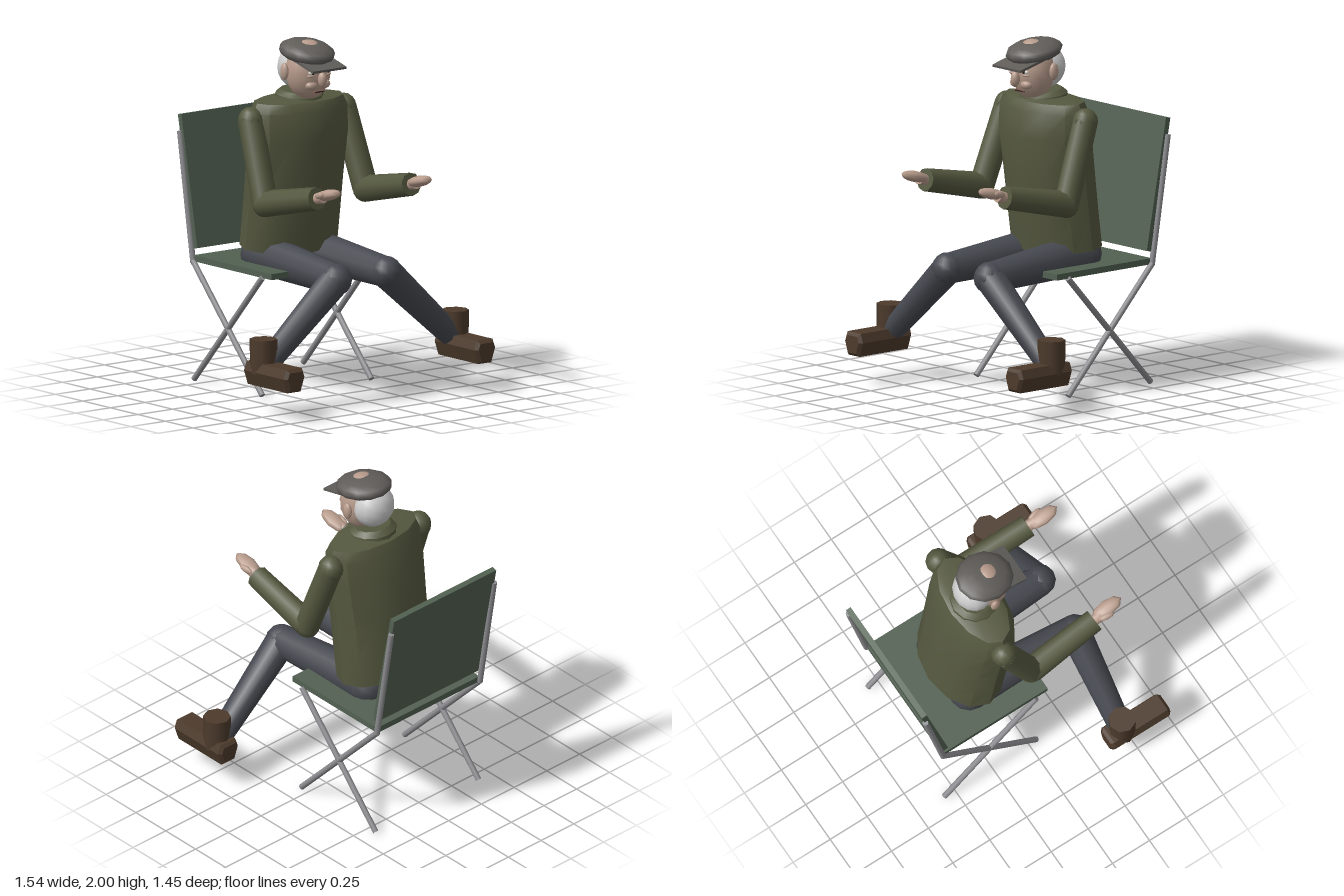
import * as THREE from 'three';
import { toCreasedNormals } from 'three/addons/utils/BufferGeometryUtils.js';

const mat = (color) => new THREE.MeshStandardMaterial({ color });
const V = (x, y, z) => new THREE.Vector3(x, y, z);

export function createModel() {
  const model = new THREE.Group();
  model.name = 'seatedMan';
  const canvas = mat(0x526152), metal = mat(0x8c8c90), jacket = mat(0x55583f), trousers = mat(0x464950);
  const leather = mat(0x4d3b2c), skin = mat(0xb89c8c), felt = mat(0x605d59), hair = mat(0xc6c6c6);
  const dark = mat(0x221c1a), white = mat(0xd8d4cc), lip = mat(0x8a5f55);

  const add = (name, geometry, material, parent = model) => {
    const mesh = new THREE.Mesh(geometry, material);
    mesh.name = name;
    parent.add(mesh);
    return mesh;
  };
  const group = (name, parent = model) => {
    const g = new THREE.Group();
    g.name = name;
    parent.add(g);
    return g;
  };
  // Tapered cylinder running from point a to point b
  const limb = (name, a, b, ra, rb, material, parent, sides = 10) => {
    const d = b.clone().sub(a);
    const m = add(name, new THREE.CylinderGeometry(rb, ra, d.length(), sides), material, parent);
    m.position.copy(a).addScaledVector(d, 0.5);
    m.quaternion.setFromUnitVectors(V(0, 1, 0), d.normalize());
    return m;
  };
  const ball = (name, p, rx, ry, rz, material, parent, w = 12, h = 8) => {
    const m = add(name, new THREE.SphereGeometry(1, w, h), material, parent);
    m.position.copy(p);
    m.scale.set(rx, ry, rz);
    return m;
  };
  // Closed skin over oval rings [y, half width, front z, back z, rise towards the back]
  const loft = (rings, sides) => {
    const pos = [], idx = [];
    for (const [y, rx, zf, zb, rise] of rings) {
      for (let i = 0; i < sides; i++) {
        const a = (i / sides) * Math.PI * 2, c = Math.cos(a);
        pos.push(rx * Math.sin(a), y - c * rise, (zf + zb) / 2 + ((zf - zb) / 2) * c);
      }
    }
    for (let r = 0; r < rings.length - 1; r++) {
      for (let i = 0; i < sides; i++) {
        const a = r * sides + i, b = r * sides + ((i + 1) % sides);
        idx.push(a, b, b + sides, a, b + sides, a + sides);
      }
    }
    const top = (rings.length - 1) * sides;
    for (let i = 1; i < sides - 1; i++) idx.push(0, i + 1, i, top, top + i, top + i + 1);
    const g = new THREE.BufferGeometry();
    g.setAttribute('position', new THREE.Float32BufferAttribute(pos, 3));
    g.setIndex(idx);
    return toCreasedNormals(g, 0.6);
  };

  // Folding chair
  const chair = group('chair');
  add('seat', new THREE.BoxGeometry(0.78, 0.035, 0.71), canvas, chair).position.set(0, 0.705, -0.225);
  const back = add('backrest', new THREE.BoxGeometry(0.78, 0.765, 0.033), canvas, chair);
  back.position.set(0, 1.14, -0.633);
  back.rotation.x = -0.19;
  for (const s of [1, -1]) {
    const x = 0.393 * s;
    limb('rearRisingLeg', V(x, 0.012, 0.05), V(x, 0.69, -0.58), 0.017, 0.017, metal, chair);
    limb('frontRisingLeg', V(x, 0.012, -0.57), V(x, 0.69, 0.05), 0.017, 0.017, metal, chair);
    limb('backPost', V(x, 0.685, -0.58), V(x, 1.42, -0.7), 0.017, 0.017, metal, chair);
    ball('hinge', V(x, 0.69, -0.58), 0.018, 0.018, 0.018, metal, chair);
  }

  // Jacket body and collar
  add('jacket', loft([
    [0.8, 0.31, 0, -0.42, 0.02],
    [1.0, 0.31, 0.03, -0.395, 0.015],
    [1.2, 0.312, 0.055, -0.37, 0.01],
    [1.45, 0.325, 0.08, -0.33, 0],
    [1.6, 0.325, 0.06, -0.29, 0],
    [1.655, 0.3, 0.035, -0.265, 0.005],
    [1.672, 0.14, 0.01, -0.23, 0.005],
  ], 12), jacket);
  add('collar', loft([
    [1.65, 0.145, 0.025, -0.25, 0],
    [1.68, 0.14, 0.02, -0.245, 0.01],
    [1.705, 0.11, -0.01, -0.21, 0.012],
  ], 12), jacket);
  ball('pelvis', V(0, 0.77, -0.23), 0.25, 0.1, 0.15, trousers);

  // Head
  const head = group('head');
  ball('skull', V(0, 1.828, -0.03), 0.134, 0.172, 0.122, skin, head, 16, 12);
  ball('hair', V(0, 1.835, -0.12), 0.125, 0.125, 0.113, hair, head, 14, 10);
  ball('nose', V(0, 1.79, 0.1), 0.026, 0.045, 0.028, skin, head);
  limb('mouth', V(-0.037, 1.715, 0.068), V(0.037, 1.715, 0.068), 0.007, 0.007, lip, head, 6);
  limb('mouthLine', V(-0.03, 1.716, 0.075), V(0.03, 1.716, 0.075), 0.003, 0.003, dark, head, 6);
  for (const s of [1, -1]) {
    ball('ear', V(0.145 * s, 1.83, -0.062), 0.02, 0.05, 0.03, skin, head, 10, 8);
    ball('eye', V(0.054 * s, 1.83, 0.072), 0.024, 0.015, 0.016, white, head);
    ball('pupil', V(0.054 * s, 1.832, 0.083), 0.012, 0.012, 0.009, dark, head, 8, 6);
    ball('lowerLid', V(0.056 * s, 1.812, 0.07), 0.028, 0.009, 0.018, skin, head);
    ball('cheek', V(0.045 * s, 1.755, 0.055), 0.04, 0.028, 0.033, skin, head);
  }

  // Flat cap with a thin peak and button
  const cap = group('cap');
  ball('crown', V(0, 1.932, -0.04), 0.155, 0.062, 0.172, felt, cap, 12, 8).rotation.x = 0.17;
  const peak = add('peak', new THREE.BoxGeometry(0.24, 0.014, 0.19), felt, cap);
  peak.position.set(0, 1.877, 0.075);
  peak.rotation.x = 0.25;
  ball('button', V(0, 1.986, -0.03), 0.018, 0.014, 0.018, skin, cap, 8, 6);

  // Bevelled foot of a boot, lying along z
  const sole = new THREE.Shape([
    [-0.035, -0.05], [0.035, -0.05], [0.057, 0.015], [0.044, 0.05], [-0.044, 0.05], [-0.057, 0.015],
  ].map(([x, y]) => new THREE.Vector2(x, y)));
  const footGeometry = new THREE.ExtrudeGeometry(sole, {
    depth: 0.36, bevelThickness: 0.018, bevelSize: 0.017, bevelSegments: 1,
  });

  for (const s of [1, -1]) {
    const side = s > 0 ? 'left' : 'right';
    // Arm, bent and held forward
    const arm = group(side + 'Arm');
    const shoulder = V(0.335 * s, 1.56, -0.13), elbow = V(0.362 * s, 1.11, 0.035), wrist = V(0.34 * s, 1.205, 0.48);
    ball('shoulder', shoulder, 0.072, 0.078, 0.075, jacket, arm);
    limb('upperSleeve', shoulder, elbow, 0.073, 0.073, jacket, arm);
    ball('elbow', elbow, 0.073, 0.078, 0.073, jacket, arm);
    limb('foreSleeve', elbow, wrist, 0.076, 0.066, jacket, arm);
    limb('wrist', wrist, V(0.336 * s, 1.22, 0.53), 0.032, 0.035, skin, arm);
    ball('hand', V(0.328 * s, 1.238, 0.57), 0.048, 0.032, 0.1, skin, arm, 8, 6).rotation.x = -0.25;
    const thumb = ball('thumb', V(0.368 * s, 1.235, 0.54), 0.018, 0.02, 0.05, skin, arm, 8, 6);
    thumb.rotation.set(-0.25, 0.2 * s, 0);

    // Leg, knee forward and shin spread outward
    const leg = group(side + 'Leg');
    const hip = V(0.16 * s, 0.755, -0.25), knee = V(0.18 * s, 0.715, 0.45), ankle = V(0.67 * s, 0.285, 0.435);
    ball('hip', hip, 0.122, 0.122, 0.122, trousers, leg);
    limb('thigh', hip, knee, 0.122, 0.09, trousers, leg);
    ball('knee', knee, 0.092, 0.092, 0.095, trousers, leg);
    limb('shin', knee, ankle, 0.09, 0.068, trousers, leg);

    // Boot
    const boot = group(side + 'Boot');
    limb('bootShaft', V(0.69 * s, 0.24, 0.435), V(0.69 * s, 0.435, 0.435), 0.077, 0.079, leather, boot, 8);
    add('bootFoot', footGeometry, leather, boot).position.set(0.687 * s, 0.235, 0.348);
  }
  return model;
}
